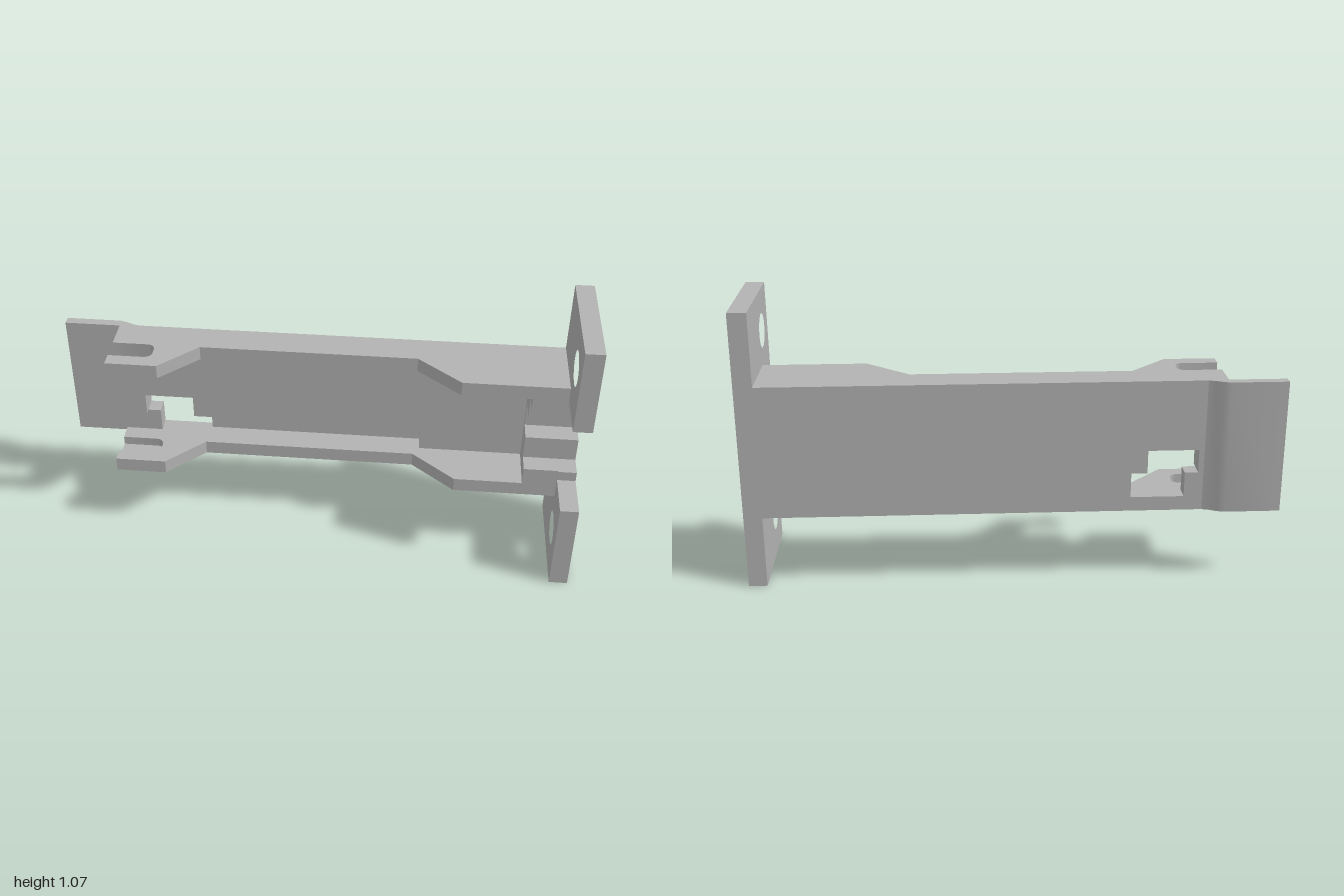
import * as THREE from 'three';
import { toCreasedNormals } from 'three/addons/utils/BufferGeometryUtils.js';

const metal = new THREE.MeshStandardMaterial({ color: 0xb2b2b2 });
metal.name = 'plain grey';

// Shape from [horizontal, vertical] pairs
const outline = (pts) => new THREE.Shape(pts.map(([a, b]) => new THREE.Vector2(a, b)));

// Extrudes a shape from 'from' to 'to' along the given axis.
// Axis x takes (-z, y) shapes, axis y takes (x, -z) shapes, axis z takes (x, y) shapes.
function slab(name, shape, axis, from, to) {
  let geo = new THREE.ExtrudeGeometry(shape, { depth: to - from, bevelEnabled: false, curveSegments: 24 });
  geo.translate(0, 0, from);
  if (axis === 'x') geo.rotateY(Math.PI / 2);
  if (axis === 'y') geo.rotateX(-Math.PI / 2);
  geo = toCreasedNormals(geo, 0.5);
  const mesh = new THREE.Mesh(geo, metal);
  mesh.name = name;
  return mesh;
}

const flipZ = (pts) => pts.map(([x, z]) => [x, -z]);
const rect = (x0, y0, x1, y1) => outline([[x0, y0], [x1, y0], [x1, y1], [x0, y1]]);

// Side wall seen from above, with or without the open slot at its free end
function wallShape(slotted) {
  const s = outline(flipZ([
    [-0.785, 0.055], [-0.59, 0.055], [-0.45, -0.085], [0.375, -0.085],
    [0.54, 0.055], [0.93, 0.055], [0.93, -0.185], [-0.785, -0.185],
  ]));
  if (slotted) {
    const r = 0.03;
    s.lineTo(-0.785, 0.085);
    s.lineTo(-0.62 - r, 0.085);
    s.absarc(-0.62 - r, 0.085 - r, r, Math.PI / 2, 0, true);
    s.absarc(-0.62 - r, r, r, 0, -Math.PI / 2, true);
    s.lineTo(-0.785, 0);
  }
  return s;
}

export function createModel() {
  const model = new THREE.Group();
  model.name = 'bracket';

  // Back plate with its stepped window
  const back = rect(-0.785, 0.28, 0.93, 0.79);
  back.holes.push(outline([
    [-0.69, 0.43], [-0.69, 0.52], [-0.5, 0.52], [-0.5, 0.43],
    [-0.44, 0.43], [-0.44, 0.335], [-0.64, 0.335], [-0.64, 0.43],
  ]));
  model.add(slab('backPlate', back, 'z', -0.212, -0.185));

  // Raised floor, leaving a shallow recess along the lower wall
  model.add(slab('floor', outline([
    [-0.785, 0.43], [-0.69, 0.43], [-0.69, 0.52], [-0.5, 0.52], [-0.5, 0.43],
    [0.4, 0.43], [0.4, 0.335], [0.8, 0.335], [0.8, 0.735], [-0.785, 0.735],
  ]), 'z', -0.185, -0.125));
  model.add(slab('recessStep', rect(-0.785, 0.335, -0.64, 0.43), 'z', -0.185, -0.15));

  // Offset tongue at the free end
  model.add(slab('endTongue', outline(flipZ([
    [-1, -0.24], [-0.79, -0.24], [-0.765, -0.233], [-0.735, -0.219], [-0.71, -0.212],
    [-0.71, -0.205], [-1, -0.205],
  ])), 'y', 0.28, 0.79));

  // Side walls: the upper slot goes through, the lower one is a pocket
  model.add(slab('upperWall', wallShape(true), 'y', 0.735, 0.79));
  model.add(slab('lowerWall', wallShape(true), 'y', 0.3, 0.335));
  model.add(slab('lowerWallSkin', wallShape(false), 'y', 0.28, 0.3));

  // Stepped channel, shared by the end block and the flange
  const steps = [
    [-0.06, 0.405], [0.02, 0.405], [0.02, 0.5], [0.1, 0.5],
    [0.1, 0.6], [0.02, 0.6], [0.02, 0.69], [-0.06, 0.69],
  ];
  model.add(slab('endBlock', outline([
    [0.212, 0.335], [-0.055, 0.335],
    ...steps.map(([u, y]) => [Math.max(u, -0.055), y]),
    [-0.055, 0.735], [0.212, 0.735],
  ]), 'x', 0.8, 0.93));

  // Mounting flange with two bolt holes
  const flange = outline([
    [0.212, 0], [-0.24, 0], [-0.24, 0.365], [-0.06, 0.365], ...steps,
    [-0.06, 0.735], [-0.24, 0.735], [-0.24, 1.065], [0.212, 1.065],
  ]);
  for (const y of [0.16, 0.912]) {
    flange.holes.push(new THREE.Path().absarc(-0.102, y, 0.065, 0, Math.PI * 2, true));
  }
  model.add(slab('mountingFlange', flange, 'x', 0.93, 1));

  return model;
}
